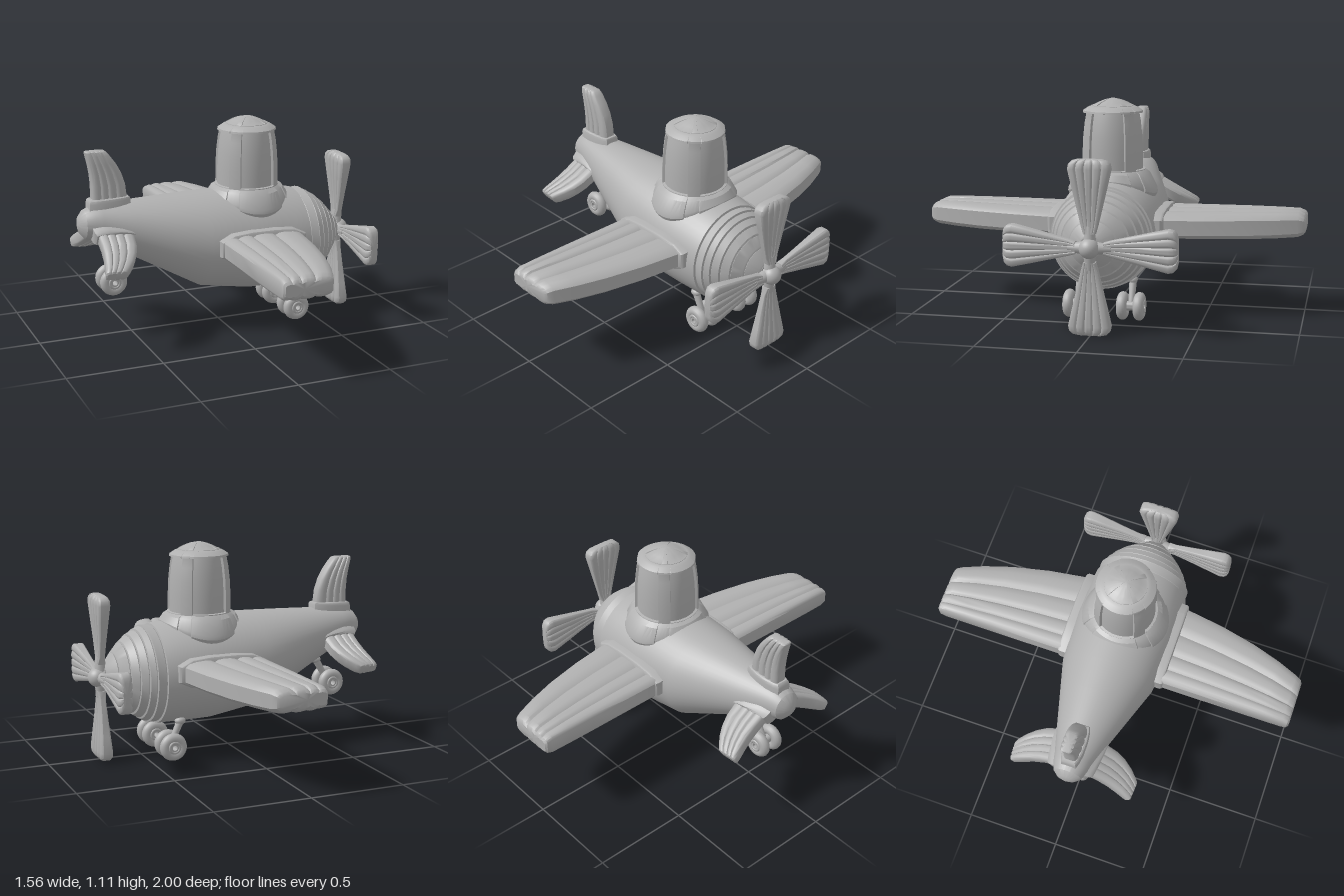
import * as THREE from 'three';
import { toCreasedNormals } from 'three/addons/utils/BufferGeometryUtils.js';

const grey = new THREE.MeshStandardMaterial({ color: 0xb0b0b0 });
grey.name = 'plain grey';

function add(parent, name, geo) {
  const m = new THREE.Mesh(geo, grey);
  m.name = name;
  parent.add(m);
  return m;
}

// Skin closed rings of [x, y, z] points, counter-clockwise about the travel direction
function loft(rings, crease = 0.6) {
  const n = rings[0].length, pos = rings.flat(2), idx = [];
  for (let i = 0; i < rings.length - 1; i++) {
    for (let j = 0; j < n; j++) {
      const k = (j + 1) % n, a = i * n + j, b = i * n + k, c = b + n, d = a + n;
      idx.push(a, b, c, a, c, d);
    }
  }
  [0, rings.length - 1].forEach((r, end) => {
    const centre = pos.length / 3;
    for (let q = 0; q < 3; q++) pos.push(rings[r].reduce((s, p) => s + p[q], 0) / n);
    for (let j = 0; j < n; j++) {
      const a = r * n + j, b = r * n + (j + 1) % n;
      if (end) idx.push(centre, a, b); else idx.push(centre, b, a);
    }
  });
  const g = new THREE.BufferGeometry();
  g.setAttribute('position', new THREE.Float32BufferAttribute(pos, 3));
  g.setIndex(idx);
  return toCreasedNormals(g, crease);
}

// Plank-like panel growing along +y; sections are [y, x0, x1, half thickness]
function panel(sections, breaks, skew = 0, edge = 0.55) {
  const prof = [];
  breaks.forEach((u, i) => {
    const last = i === breaks.length - 1;
    prof.push([u, i === 0 || last ? edge : 0.8]);
    if (!last) for (const t of [0.14, 0.35, 0.65, 0.86]) {
      const v = u + (breaks[i + 1] - u) * t;
      prof.push([v, (t > 0.2 && t < 0.8 ? 1 : 0.95) * (1 - 0.25 * Math.pow(Math.abs(2 * v - 1), 4))]);
    }
  });
  return loft(sections.map(([y, x0, x1, h], i) => {
    const tilt = skew * (1 - i / sections.length);
    const at = ([u, s], side) => [x0 + (x1 - x0) * u, y + tilt * (u - 0.5), side * s * h];
    return [...prof.map(p => at(p, 1)), ...[...prof].reverse().map(p => at(p, -1))];
  }));
}

// Upright body of revolution with four sunken panes; levels are [y, radius, sink]
function paned(levels, half, crease = 0.45) {
  const angles = [];
  for (let q = 0; q < 4; q++) {
    for (let i = 0; i <= 10; i++) angles.push([q * Math.PI / 2 + half * (i / 5 - 1), 1]);
    const gap = Math.PI / 2 - 2 * half;
    for (let i = 0; i <= 4; i++) angles.push([q * Math.PI / 2 + half + gap * (0.04 + 0.92 * i / 4), 0]);
  }
  return loft(levels.map(([y, r, sink]) => angles.map(([a, pane]) => {
    const rr = r - pane * sink;
    return [rr * Math.sin(a), y, rr * Math.cos(a)];
  })), crease);
}

function hoop(x, cy, r) {
  return Array.from({ length: 48 }, (_, i) => {
    const a = i * Math.PI / 24;
    return [x, cy + r * Math.cos(a), r * Math.sin(a)];
  });
}

// Twin wheels on a hollow axle, with a strut reaching up by (dx, dy)
function landingGear(name, x, y, z, dx, dy, spread) {
  const g = new THREE.Group();
  g.name = name;
  g.position.set(x, y, z);
  const w = spread + 0.026;
  const tube = [[0.013, -w], [0.024, -w], [0.024, w], [0.013, w], [0.013, -w]].map(p => new THREE.Vector2(...p));
  add(g, 'axle', toCreasedNormals(new THREE.LatheGeometry(tube, 24), 0.6)).rotation.x = Math.PI / 2;
  for (const s of [-1, 1]) {
    add(g, 'tyre', new THREE.TorusGeometry(0.046, 0.027, 14, 32)).position.z = s * spread;
    add(g, 'wheelRim', new THREE.TorusGeometry(0.027, 0.009, 8, 24)).position.z = s * (spread + 0.02);
  }
  const len = Math.hypot(dx, dy), dir = new THREE.Vector3(dx / len, dy / len, 0);
  const strut = add(g, 'strut', new THREE.CylinderGeometry(0.02, 0.016, len - 0.018, 16));
  strut.position.copy(dir).multiplyScalar((len + 0.018) / 2);
  strut.quaternion.setFromUnitVectors(new THREE.Vector3(0, 1, 0), dir);
  const cap = add(g, 'strutMount', new THREE.SphereGeometry(0.03, 16, 10));
  cap.position.set(dx, dy, 0);
  cap.scale.set(1, 0.7, 0.8);
  return g;
}

export function createModel() {
  const plane = new THREE.Group();
  plane.name = 'toyPropellerPlane';

  // Fuselage: [x, bottom, top], then a nose of stepped rings
  const hull = [[-0.78, 0.61, 0.63], [-0.77, 0.575, 0.665], [-0.745, 0.545, 0.695], [-0.7, 0.53, 0.713],
    [-0.66, 0.517, 0.717], [-0.5, 0.43, 0.725], [-0.3, 0.32, 0.731], [-0.13, 0.225, 0.735],
    [0.0, 0.203, 0.737], [0.14, 0.18, 0.737], [0.26, 0.178, 0.73], [0.36, 0.178, 0.715], [0.43, 0.178, 0.704]];
  const rings = hull.map(([x, b, t]) => hoop(x, (b + t) / 2, (t - b) / 2));
  const nose = [[0.435, 0.262], [0.485, 0.256], [0.52, 0.236], [0.56, 0.21], [0.6, 0.175], [0.645, 0.125], [0.695, 0.06]];
  for (const [x, r] of nose) {
    const cy = 0.441 + (x - 0.435) * 0.03;
    rings.push(hoop(x, cy, r), hoop(x + 0.003, cy, r - 0.011), hoop(x + 0.007, cy, r - 0.008));
  }
  add(plane, 'fuselage', loft(rings, 0.5));

  // Wings with root collars
  const wingSections = [[0.22, -0.085, 0.365, 0.066], [0.3, -0.085, 0.36, 0.068], [0.5, -0.085, 0.33, 0.069],
    [0.7, -0.085, 0.285, 0.069], [0.85, -0.085, 0.238, 0.067], [0.96, -0.085, 0.194, 0.063],
    [0.99, -0.083, 0.18, 0.05], [1.0, -0.075, 0.165, 0.035]];
  const wingCollar = [[0.2, -0.095, 0.385, 0.083], [0.285, -0.095, 0.385, 0.083], [0.295, -0.09, 0.378, 0.079], [0.3, -0.08, 0.368, 0.07]];
  for (const [side, s] of [['left', 1], ['right', -1]]) {
    const wing = new THREE.Group();
    wing.name = side + 'Wing';
    add(wing, 'wingPanel', panel(wingSections, [0, 0.17, 0.36, 0.64, 1]));
    add(wing, 'wingCollar', panel(wingCollar, [0, 1], 0, 0.5));
    wing.position.y = 0.484;
    wing.rotation.x = s * Math.PI / 2;
    plane.add(wing);
  }

  // Three swept tail fins spaced evenly round the tail
  const finSections = [[0.06, -0.7, -0.52, 0.04], [0.13, -0.7, -0.517, 0.041], [0.2, -0.7, -0.525, 0.041],
    [0.26, -0.705, -0.545, 0.041], [0.31, -0.714, -0.572, 0.04], [0.355, -0.725, -0.605, 0.037],
    [0.375, -0.73, -0.622, 0.03], [0.38, -0.726, -0.63, 0.022]];
  const finCollar = [[0.05, -0.722, -0.5, 0.055], [0.115, -0.72, -0.502, 0.055], [0.128, -0.716, -0.507, 0.051], [0.133, -0.708, -0.515, 0.044]];
  ['topFin', 'leftTailplane', 'rightTailplane'].forEach((name, i) => {
    const fin = new THREE.Group();
    fin.name = name;
    add(fin, 'finPanel', panel(finSections, [0, 0.24, 0.46, 0.7, 1], i ? 0.04 : 0));
    add(fin, 'finCollar', panel(finCollar, [0, 1], i ? 0.07 : 0.02, 0.7));
    fin.position.y = 0.62;
    fin.rotation.x = i * Math.PI * 2 / 3;
    plane.add(fin);
  });

  // Canopy with saddle skirt, framed glass and domed lid
  const canopy = new THREE.Group();
  canopy.name = 'canopy';
  canopy.position.set(0.165, 0, 0);
  const skirt = paned([[0.66, 0.2, 0], [0.7, 0.207, -0.007], [0.715, 0.206, -0.007], [0.745, 0.186, -0.005], [0.757, 0.165, 0]], 0.6);
  const p = skirt.attributes.position;
  for (let i = 0; i < p.count; i++) {
    const z = p.getZ(i), low = THREE.MathUtils.clamp((0.757 - p.getY(i)) / 0.045, 0, 1);
    p.setY(i, p.getY(i) - low * 1.4 * z * z);
    p.setZ(i, z * (1 + 0.1 * low));
  }
  add(canopy, 'canopySkirt', toCreasedNormals(skirt, 0.45));
  add(canopy, 'canopyFrame', paned([[0.7, 0.17, 0], [0.757, 0.17, 0], [0.76, 0.17, 0.013], [0.85, 0.169, 0.013],
    [0.93, 0.165, 0.013], [1.0, 0.157, 0.013], [1.046, 0.148, 0.013], [1.049, 0.148, 0]], 0.58));
  add(canopy, 'canopyRim', paned([[1.046, 0.14, 0], [1.048, 0.153, -0.003], [1.058, 0.151, -0.003], [1.075, 0.128, 0], [1.082, 0.11, 0]], 0.55));
  add(canopy, 'canopyDome', paned([[1.07, 0.112, 0], [1.084, 0.11, 0], [1.086, 0.108, 0.008], [1.1, 0.082, 0.008],
    [1.112, 0.05, 0.006], [1.117, 0.026, 0.002], [1.12, 0.012, 0]], 0.65));
  plane.add(canopy);

  // Four-bladed propeller
  const prop = new THREE.Group();
  prop.name = 'propeller';
  prop.position.set(0.715, 0.444, 0);
  const blade = panel([[0.07, -0.03, 0.03, 0.024], [0.11, -0.042, 0.042, 0.018], [0.2, -0.063, 0.063, 0.023],
    [0.3, -0.086, 0.086, 0.031], [0.385, -0.105, 0.105, 0.038], [0.41, -0.1, 0.1, 0.036], [0.425, -0.085, 0.085, 0.028],
    [0.432, -0.06, 0.06, 0.018]], [0, 0.2, 0.4, 0.6, 0.8, 1]).rotateY(Math.PI / 2);
  for (let i = 0; i < 4; i++) {
    const arm = new THREE.Group();
    arm.name = 'propellerArm';
    add(arm, 'blade', blade);
    add(arm, 'bladeSocket', new THREE.CylinderGeometry(0.02, 0.034, 0.085, 16)).position.y = 0.065;
    arm.rotation.x = i * Math.PI / 2;
    prop.add(arm);
  }
  const hub = add(prop, 'hub', new THREE.CylinderGeometry(0.046, 0.046, 0.06, 32));
  hub.rotation.z = Math.PI / 2;
  const spinner = add(prop, 'spinner', new THREE.SphereGeometry(0.05, 32, 16));
  spinner.position.x = 0.015;
  plane.add(prop);

  // Landing gear
  plane.add(landingGear('leftGear', 0.385, 0.08, 0.14, -0.055, 0.125, 0.043));
  plane.add(landingGear('rightGear', 0.385, 0.08, -0.14, -0.055, 0.125, 0.043));
  plane.add(landingGear('tailGear', -0.605, 0.305, 0, 0.075, 0.125, 0.043));
  return plane;
}
